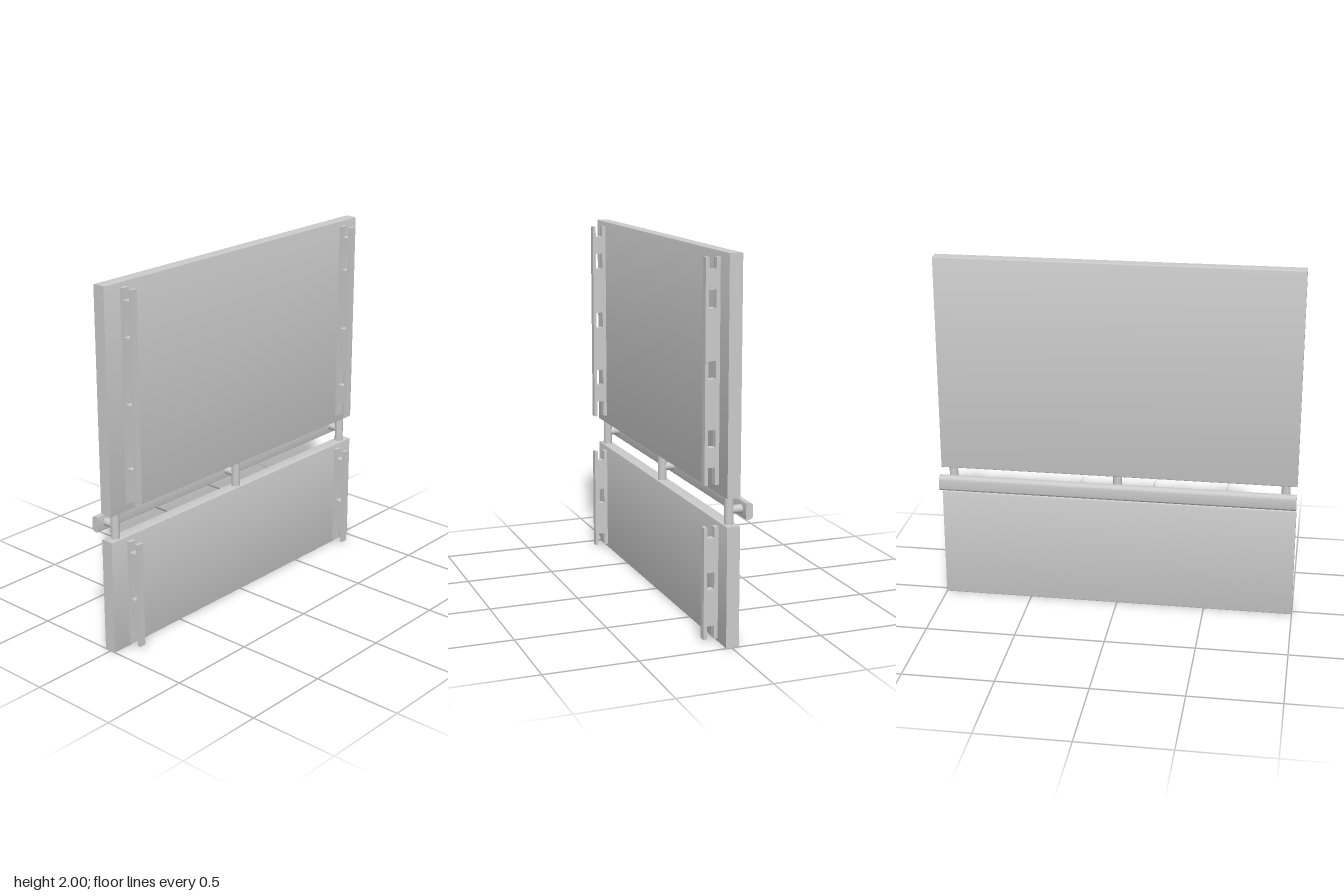
import * as THREE from 'three';
import { toCreasedNormals } from 'three/addons/utils/BufferGeometryUtils.js';

const material = new THREE.MeshStandardMaterial({ color: 0xcccccc });

// Extrude a (z, y) profile along x, centred on the given x.
function extrudeAlongX(shape, width, x = 0) {
  const geo = new THREE.ExtrudeGeometry(shape, { depth: width, bevelEnabled: false, curveSegments: 6 });
  geo.translate(0, 0, -width / 2);
  geo.rotateY(-Math.PI / 2); // profile x -> z, depth -> -x
  geo.translate(x, 0, 0);
  return toCreasedNormals(geo, 0.6);
}

// Rectangle with separate corner radii for its back (low z) and front (high z) edges.
function roundedProfile(z0, z1, y0, y1, back, front) {
  const s = new THREE.Shape();
  s.moveTo(z0 + back, y0);
  s.lineTo(z1 - front, y0);
  s.quadraticCurveTo(z1, y0, z1, y0 + front);
  s.lineTo(z1, y1 - front);
  s.quadraticCurveTo(z1, y1, z1 - front, y1);
  s.lineTo(z0 + back, y1);
  s.quadraticCurveTo(z0, y1, z0, y1 - back);
  s.lineTo(z0, y0 + back);
  s.quadraticCurveTo(z0, y0, z0 + back, y0);
  return s;
}

// Mounting strip: notched at both ends, with square windows between.
function stripProfile(y0, y1, notchBottom, notchTop, windows) {
  const [z0, z1, n0, n1] = [0.032, 0.11, 0.053, 0.092];
  const s = new THREE.Shape([
    [z0, y0], [n0, y0], [n0, notchBottom], [n1, notchBottom], [n1, y0], [z1, y0],
    [z1, y1], [n1, y1], [n1, notchTop], [n0, notchTop], [n0, y1], [z0, y1],
  ].map(([z, y]) => new THREE.Vector2(z, y)));
  for (const y of windows) {
    s.holes.push(new THREE.Path([
      [n0, y - 0.045], [n0, y + 0.045], [n1, y + 0.045], [n1, y - 0.045],
    ].map(([z, v]) => new THREE.Vector2(z, v))));
  }
  return s;
}

export function createModel() {
  const group = new THREE.Group();
  const add = (name, geo) => {
    const mesh = new THREE.Mesh(geo, material);
    mesh.name = name;
    group.add(mesh);
    return mesh;
  };

  // Two flat panels with softly eased long edges
  add('upperPanel', extrudeAlongX(roundedProfile(-0.038, 0.032, 0.782, 2, 0.006, 0.003), 2));
  add('lowerPanel', extrudeAlongX(roundedProfile(-0.038, 0.032, 0, 0.637, 0.006, 0.003), 2));

  // Slotted mounting strips on the front
  const upperStrip = stripProfile(0.83, 1.972, 0.92, 1.912, [1.767, 1.415, 1.068]);
  const lowerStrip = stripProfile(0.018, 0.61, 0.088, 0.553, [0.328]);
  for (const [side, x] of [['left', 0.871], ['right', -0.871]]) {
    add(side + 'UpperStrip', extrudeAlongX(upperStrip, 0.038, x));
    add(side + 'LowerStrip', extrudeAlongX(lowerStrip, 0.038, x));
  }

  // Round posts joining the panels, each with a peg back to the rail
  for (const [side, x] of [['left', 0.938], ['middle', 0], ['right', -0.938]]) {
    const post = add(side + 'Post', new THREE.CylinderGeometry(0.024, 0.024, 0.155, 24));
    post.position.set(x, 0.7095, -0.003);
    const peg = add(side + 'Peg', new THREE.CylinderGeometry(0.022, 0.022, 0.075, 24).rotateX(Math.PI / 2));
    peg.position.set(x, 0.709, -0.0375);
  }

  // Rail behind the gap, rounded on its back edges
  add('rail', extrudeAlongX(roundedProfile(-0.108, -0.07, 0.665, 0.753, 0.024, 0.003), 2));

  return group;
}
